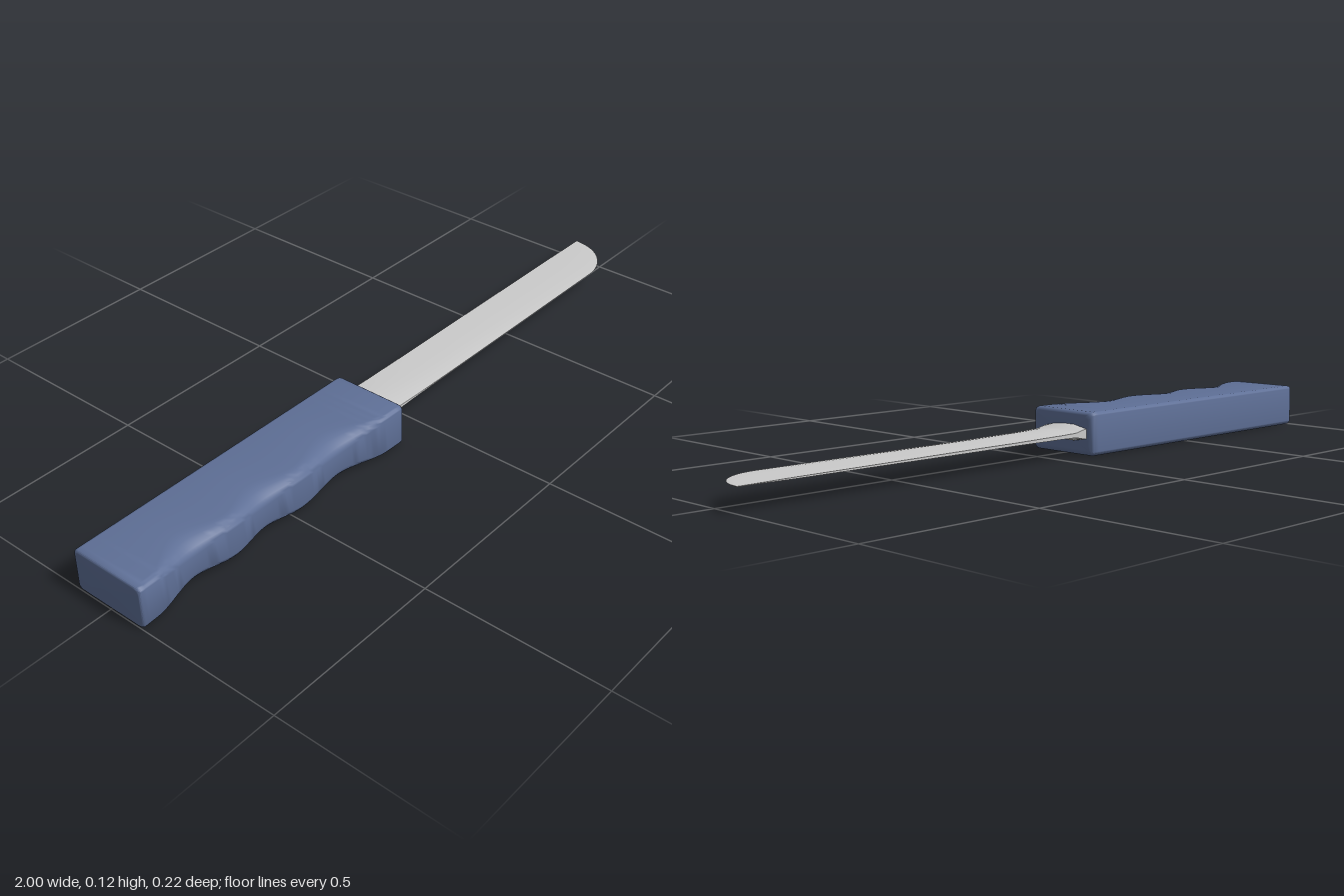
import * as THREE from 'three';
import { toCreasedNormals } from 'three/addons/utils/BufferGeometryUtils.js';

const MID = 0.059; // height of the blade plane and handle centre

// Smooth interpolation through [x, value] keys
function ease(keys, x) {
  for (let i = 1; i < keys.length; i++) {
    const [x0, v0] = keys[i - 1], [x1, v1] = keys[i];
    if (x <= x1) return v0 + (v1 - v0) * THREE.MathUtils.smoothstep(x, x0, x1);
  }
  return keys[keys.length - 1][1];
}

// Skin closed rings of [z, y] points placed along x, with end caps
function loft(sections, crease) {
  const n = sections[0].ring.length, pos = [], idx = [];
  for (const { x, ring } of sections) for (const [z, y] of ring) pos.push(x, y, z);
  for (let i = 0; i < sections.length - 1; i++) {
    for (let j = 0; j < n; j++) {
      const a = i * n + j, b = i * n + (j + 1) % n;
      idx.push(a, a + n, b, b, a + n, b + n);
    }
  }
  for (const end of [0, sections.length - 1]) {
    const { x, ring } = sections[end], c = pos.length / 3;
    const mean = (k) => ring.reduce((s, p) => s + p[k], 0) / n;
    pos.push(x, mean(1), mean(0));
    for (let j = 0; j < n; j++) {
      const a = end * n + j, b = end * n + (j + 1) % n;
      if (end === 0) idx.push(c, a, b); else idx.push(c, b, a);
    }
  }
  const g = new THREE.BufferGeometry();
  g.setAttribute('position', new THREE.Float32BufferAttribute(pos, 3));
  g.setIndex(idx);
  return toCreasedNormals(g, crease);
}

// Finger scallops along the front of the grip (0 = full, 1 = deepest)
const SCALLOPS = [[-1, 0.05], [-0.96, 0.1], [-0.82, 1], [-0.7, 0.45], [-0.59, 0.95],
  [-0.47, 0.45], [-0.33, 1], [-0.15, 0.04], [-0.09, 0]];

// Rounded rectangle whose front corners soften in the scallops
function handleRing(x, inset) {
  const d = ease(SCALLOPS, x), ring = [], steps = 6;
  const front = 0.11 - 0.02 * d - inset, back = -0.11 + inset, h = MID - inset;
  const corners = [[1, 1], [-1, 1], [-1, -1], [1, -1]];
  corners.forEach(([sz, sy], q) => {
    const rz = sz > 0 ? 0.014 + 0.05 * d : 0.012;
    const ry = sz > 0 ? 0.012 + 0.022 * d : 0.012;
    const cz = sz > 0 ? front - rz : back + rz, cy = sy * (h - ry);
    for (let k = 0; k <= steps; k++) {
      const a = (q + k / steps) * Math.PI / 2;
      ring.push([cz + rz * Math.cos(a), MID + cy + ry * Math.sin(a)]);
    }
  });
  return ring;
}

function handleGeometry() {
  const x0 = -1, x1 = -0.095, r0 = 0.007, r1 = 0.015, sections = [];
  const add = (x, inset) => sections.push({ x, ring: handleRing(x, inset) });
  for (let k = 0; k < 4; k++) { // rounded butt
    const a = k / 4 * Math.PI / 2;
    add(x0 + r0 * (1 - Math.cos(a)), r0 * (1 - Math.sin(a)));
  }
  for (let k = 0; k <= 72; k++) add(THREE.MathUtils.lerp(x0 + r0, x1 - r1, k / 72), 0);
  for (let k = 1; k <= 4; k++) { // rounded blade end
    const a = k / 4 * Math.PI / 2;
    add(x1 - r1 * (1 - Math.sin(a)), r1 * (1 - Math.cos(a)));
  }
  return loft(sections, 0.7);
}

// Blade half thickness, flaring into the handle
const THICKNESS = [[-0.12, 0.024], [-0.09, 0.021], [-0.05, 0.0095], [0.02, 0.007],
  [0.17, 0.0045], [0.8, 0.0025], [1, 0.0008]];

function bladeRing(x) {
  const back = -0.09, tip = Math.max(0, (x - 0.85) / 0.15);
  const width = 0.145 * Math.sqrt(Math.max(0.0001, 1 - tip * tip));
  const t = ease(THICKNESS, x);
  const edge = ease([[-0.12, 0.55], [0.1, 0.3], [0.3, 0.12]], x);
  const spine = ease([[-0.12, 0.6], [0.3, 0.9]], x);
  const profile = [[1, edge], [0.85, 0.8], [0.6, 1], [0.3, 1], [0, spine]];
  const side = (s) => profile.map(([f, m]) => [back + width * f, MID + 0.001 + s * t * m]);
  return [...side(1), ...side(-1).reverse()];
}

function bladeGeometry() {
  const xs = [-0.12, -0.09, -0.08, -0.07, -0.06, -0.05, -0.03, 0, 0.05, 0.1, 0.17, 0.3, 0.45, 0.6, 0.75];
  for (let k = 0; k <= 16; k++) xs.push(0.85 + 0.15 * Math.sin(k / 16 * Math.PI / 2)); // curved tip
  return loft(xs.map((x) => ({ x, ring: bladeRing(x) })), 0.5);
}

export function createModel() {
  const model = new THREE.Group();
  model.name = 'knife';
  const add = (name, geometry, color) => {
    const mesh = new THREE.Mesh(geometry, new THREE.MeshStandardMaterial({ color }));
    mesh.name = name;
    model.add(mesh);
  };
  add('handle', handleGeometry(), 0x5e6f96);
  add('blade', bladeGeometry(), 0xcccccc);
  return model;
}
